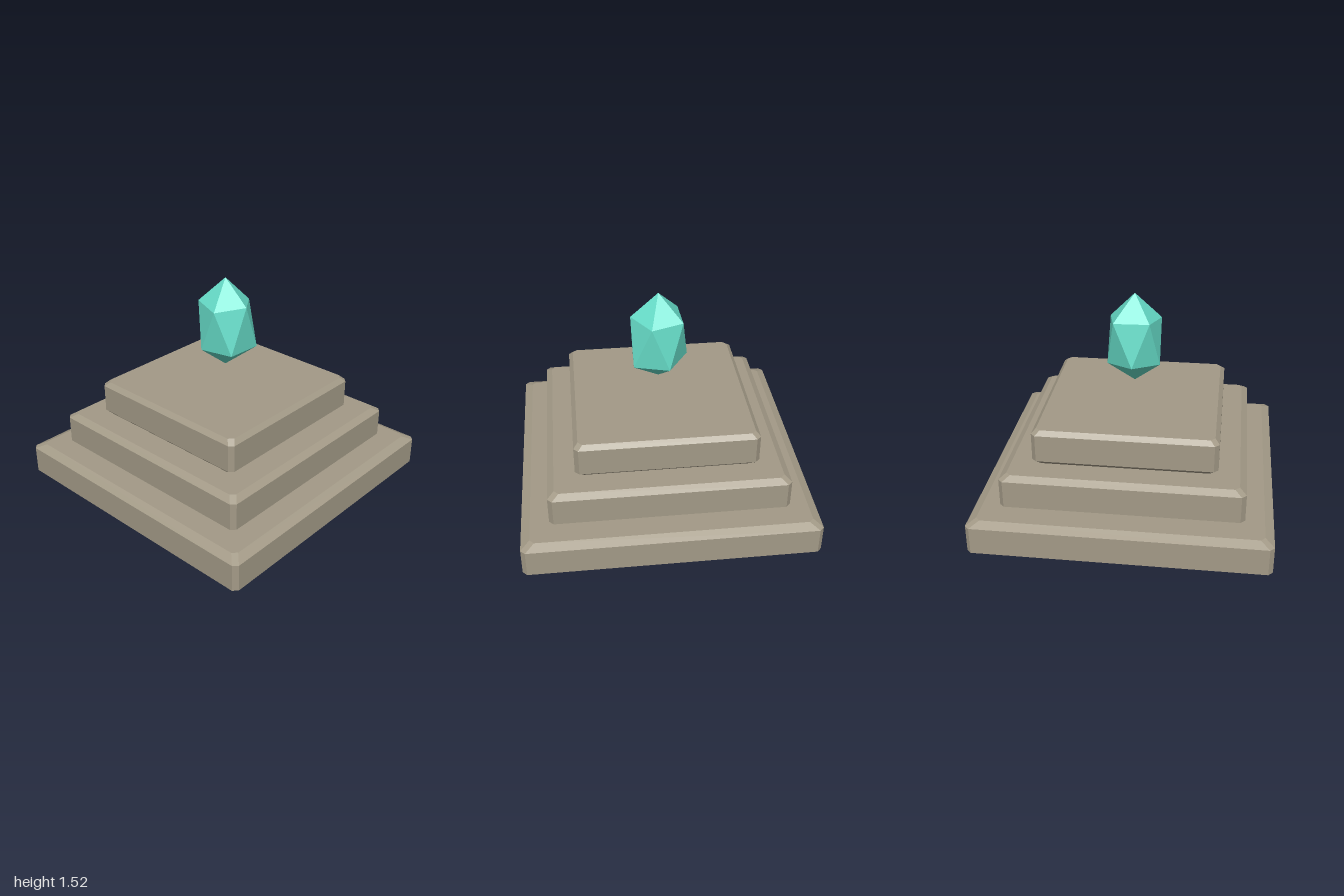
import * as THREE from 'three';

// Flat-shaded closed solid from stacked rings of [x, y, z] points, each ring turning from +x towards +z.
// A one-point ring closes the solid to a tip; a full end ring gets a flat cap.
function loft(rings, faces) {
  const pos = [];
  const tri = (a, b, c) => pos.push(...a, ...b, ...c);
  faces(rings, tri);
  const geometry = new THREE.BufferGeometry();
  geometry.setAttribute('position', new THREE.Float32BufferAttribute(pos, 3));
  geometry.computeVertexNormals();
  return geometry;
}

// Square with cut corners
function cutSquare(half, cut, y) {
  const k = half - cut;
  return [[half, k], [k, half], [-k, half], [-half, k], [-half, -k], [-k, -half], [k, -half], [half, -k]]
    .map(([x, z]) => [x, y, z]);
}

// Slab with chamfered corners and bevelled top and bottom rims
function slabGeometry(half, height, inset) {
  const rim = 0.03, cut = 0.03;
  const rings = [
    cutSquare(half - inset, cut, 0),
    cutSquare(half, cut, rim),
    cutSquare(half, cut, height - rim),
    cutSquare(half - inset, cut, height),
  ];
  return loft(rings, (r, tri) => {
    const n = 8;
    for (let j = 0; j < 3; j++) {
      for (let i = 0; i < n; i++) {
        const k = (i + 1) % n;
        tri(r[j][i], r[j + 1][i], r[j + 1][k]);
        tri(r[j][i], r[j + 1][k], r[j][k]);
      }
    }
    for (let i = 1; i < n - 1; i++) {
      tri(r[0][0], r[0][i], r[0][i + 1]);
      tri(r[3][0], r[3][i + 1], r[3][i]);
    }
  });
}

// Slightly irregular crystal: two staggered five-point rings between two tips
function crystalGeometry() {
  const upper = [[0.19, 1.35, 0], [0.06, 1.33, 0.18], [-0.145, 1.35, 0.115], [-0.155, 1.35, -0.13], [0.06, 1.33, -0.175]];
  const lower = [[0.17, 1.025, 0.125], [-0.06, 1.025, 0.18], [-0.2, 1.045, 0], [-0.06, 1.02, -0.185], [0.18, 1.025, -0.125]];
  const top = [0, 1.52, 0], bottom = [0, 0.875, 0];
  return loft([upper, lower], ([u, l], tri) => {
    for (let i = 0; i < 5; i++) {
      const k = (i + 1) % 5;
      tri(top, u[k], u[i]);
      tri(u[i], u[k], l[i]);
      tri(u[k], l[k], l[i]);
      tri(bottom, l[i], l[k]);
    }
  });
}

export function createModel() {
  const stone = new THREE.MeshStandardMaterial({ color: 0xa39a87, flatShading: true });
  stone.name = 'stone';
  const teal = new THREE.MeshStandardMaterial({ color: 0x66dcc8, flatShading: true });
  teal.name = 'teal crystal';

  const model = new THREE.Group();
  model.name = 'crystalShrine';

  // Three stacked stone steps
  const height = 0.251;
  const tiers = [
    ['lowerStep', 1, 0.06],
    ['middleStep', 0.81, 0.045],
    ['upperStep', 0.622, 0.03],
  ];
  tiers.forEach(([name, half, inset], i) => {
    const step = new THREE.Mesh(slabGeometry(half, height, inset), stone);
    step.name = name;
    step.position.y = i * height;
    model.add(step);
  });

  // Floating crystal
  const crystal = new THREE.Mesh(crystalGeometry(), teal);
  crystal.name = 'floatingCrystal';
  model.add(crystal);

  return model;
}
